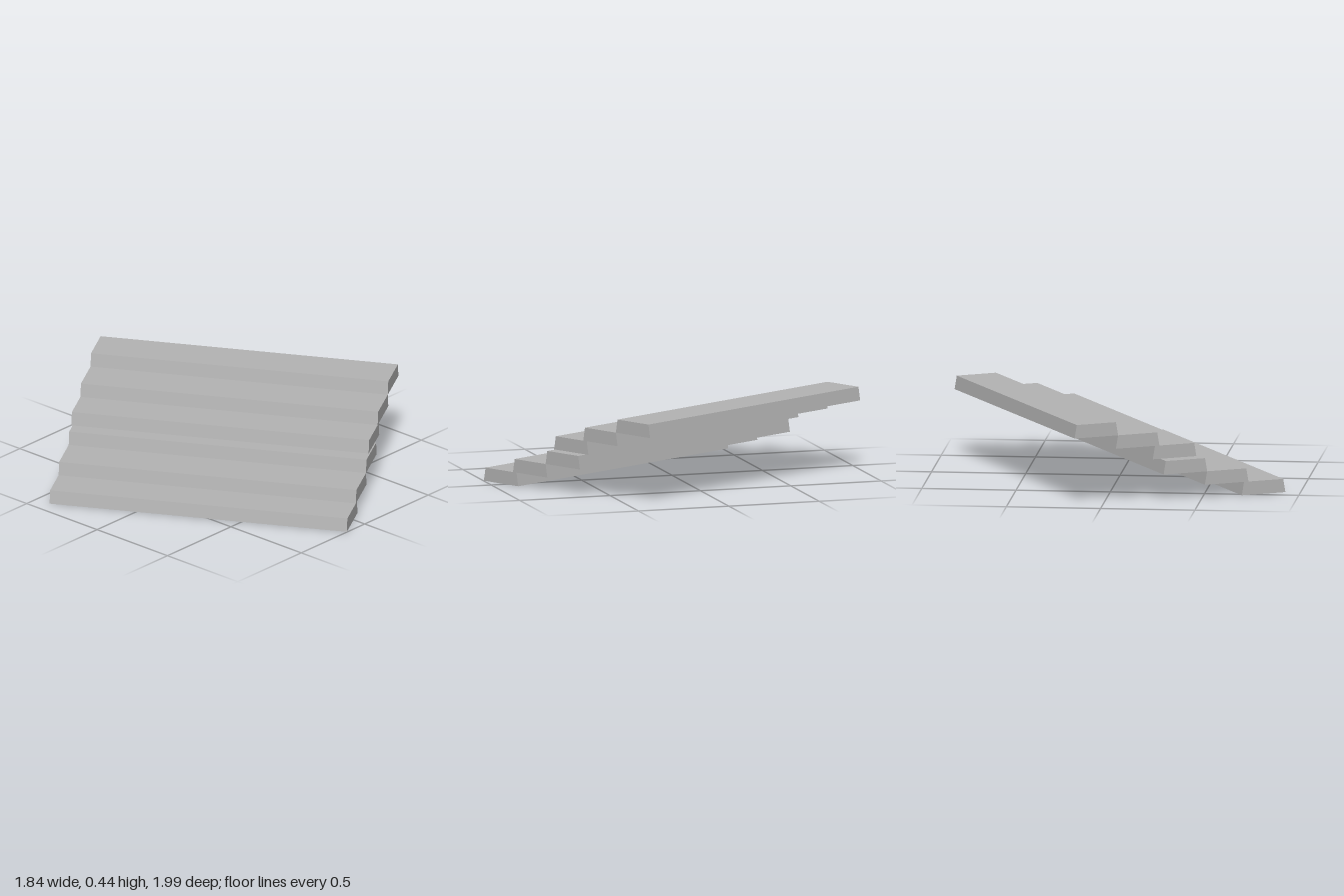
import * as THREE from 'three';

const LENGTH = 1.61, WIDTH = 0.25, HEIGHT = 0.0715, TAPER = 0.0125;

// Hollow tread: open underneath, long sides leaning in towards the top
function treadGeometry() {
  const g = new THREE.BoxGeometry(WIDTH, HEIGHT, LENGTH);
  const index = Array.from(g.index.array);
  index.splice(18, 6); // drop the bottom face
  g.setIndex(index);
  g.clearGroups();
  const p = g.attributes.position;
  for (let i = 0; i < p.count; i++) {
    if (p.getY(i) > 0) p.setX(i, p.getX(i) - Math.sign(p.getX(i)) * TAPER);
  }
  g.translate(0, HEIGHT / 2, 0);
  g.computeVertexNormals();
  return g;
}

export function createModel() {
  const model = new THREE.Group();
  model.name = 'steppedTreads';
  const grey = new THREE.MeshStandardMaterial({ color: 0xb4b4b4, side: THREE.DoubleSide });
  grey.name = 'grey';
  const geometry = treadGeometry();

  // Two flights of three treads, the upper one slightly raised and shifted
  const offsets = [0, 0.212, 0.449];
  const flights = [
    { name: 'lowerFlight', x: -0.48, y: 0 },
    { name: 'upperFlight', x: 0.031, y: 0.229 },
  ];
  for (const { name, x, y } of flights) {
    const flight = new THREE.Group();
    flight.name = name;
    flight.position.set(x, y, 0);
    offsets.forEach((dx, i) => {
      const tread = new THREE.Mesh(geometry, grey);
      tread.name = `tread${i + 1}`;
      tread.position.set(dx, i * HEIGHT, 0);
      flight.add(tread);
    });
    model.add(flight);
  }

  // The whole stair is turned about the vertical
  model.rotation.y = 0.507;
  const root = new THREE.Group();
  root.name = 'stairs';
  root.add(model);
  return root;
}
